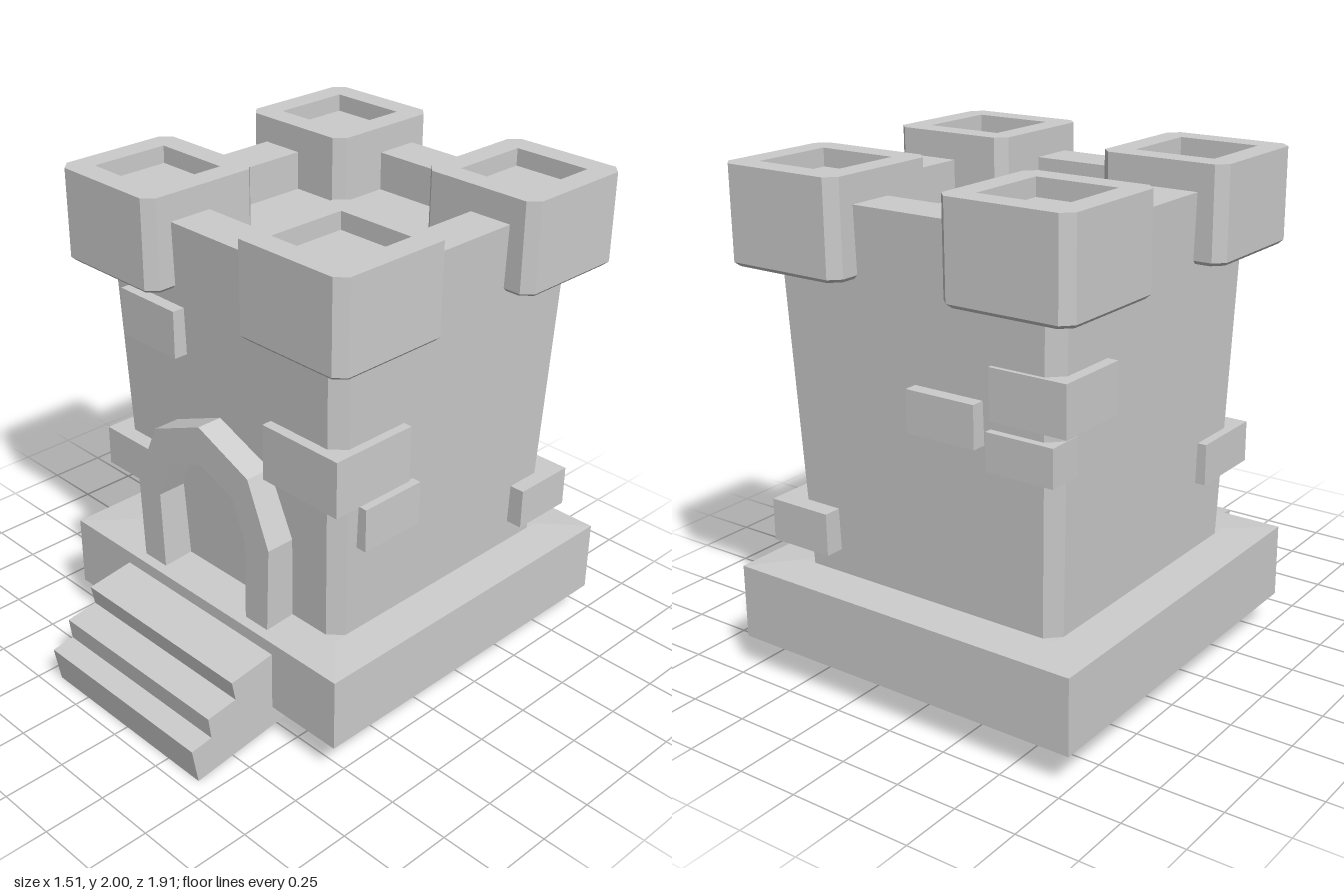
import * as THREE from 'three';

const material = new THREE.MeshStandardMaterial({ color: 0xcccccc, flatShading: true });
const CENTER_Z = -0.2;

// Square outline with cut corners, eight points, counter-clockwise seen from above
function ring(half, cut, y) {
  const h = half, k = half - cut;
  return [[h, k], [k, h], [-k, h], [-h, k], [-h, -k], [-k, -h], [k, -h], [h, -k]]
    .map(([x, z]) => [x, y, z]);
}

// Joins successive rings with walls and closes the first and last ring
function loft(rings) {
  const pos = [];
  const tri = (a, b, c) => pos.push(...a, ...b, ...c);
  for (let r = 0; r < rings.length - 1; r++) {
    const a = rings[r], b = rings[r + 1];
    for (let i = 0; i < 8; i++) {
      const j = (i + 1) % 8;
      tri(a[i], b[i], b[j]);
      tri(a[i], b[j], a[j]);
    }
  }
  const first = rings[0], last = rings[rings.length - 1];
  for (let i = 1; i < 7; i++) {
    tri(first[0], first[i], first[i + 1]);
    tri(last[0], last[i + 1], last[i]);
  }
  const geometry = new THREE.BufferGeometry();
  geometry.setAttribute('position', new THREE.Float32BufferAttribute(pos, 3));
  geometry.computeVertexNormals();
  return geometry;
}

function extrude(points, depth) {
  const shape = new THREE.Shape(points.map(([x, y]) => new THREE.Vector2(x, y)));
  return new THREE.ExtrudeGeometry(shape, { depth, bevelEnabled: false });
}

export function createModel() {
  const model = new THREE.Group();
  model.name = 'castleTower';

  const add = (name, geometry, x = 0, y = 0, z = 0) => {
    const mesh = new THREE.Mesh(geometry, material);
    mesh.name = name;
    mesh.position.set(x, y, z);
    model.add(mesh);
    return mesh;
  };

  // Plinth with a very shallow sloped top
  add('base', loft([ring(0.757, 0, 0.14), ring(0.757, 0, 0.44), ring(0.59, 0, 0.45)]), 0, 0, -0.195);

  // Flared tower with cut corners, a parapet and a sunken roof floor
  add('tower', loft([
    ring(0.587, 0.052, 0.43), ring(0.638, 0.055, 1.895),
    ring(0.455, 0, 1.895), ring(0.455, 0, 1.74),
  ]), 0, 0, CENTER_Z);

  // Four corner turrets, each with a bevelled foot and a recessed top
  const turret = loft([
    ring(0.247, 0.04, 1.63), ring(0.262, 0.04, 1.645), ring(0.262, 0.04, 2),
    ring(0.165, 0, 2), ring(0.165, 0, 1.93),
  ]);
  for (const sx of [-1, 1]) {
    for (const sz of [-1, 1]) add('turret', turret, sx * 0.482, 0, CENTER_Z + sz * 0.48);
  }

  // Faceted door arch
  add('doorArch', extrude([
    [-0.367, 0.44], [-0.385, 0.8], [-0.268, 1.06], [-0.008, 1.17], [0.258, 1.06], [0.367, 0.8], [0.355, 0.44],
    [0.235, 0.44], [0.24, 0.77], [0.172, 0.94], [-0.008, 1.01], [-0.185, 0.94], [-0.257, 0.77], [-0.242, 0.44],
  ], 0.16), 0, 0, 0.36);

  // Tilted steps: side profile as (z, y), turned to run along x
  const steps = add('steps', extrude([
    [0.937, 0.003], [0.963, 0.155], [0.868, 0.168], [0.88, 0.26], [0.746, 0.278],
    [0.762, 0.362], [0.51, 0.395], [0.455, 0.065],
  ].map(([z, y]) => [-z, y]), 0.853), -0.428, 0, 0);
  steps.rotation.y = Math.PI / 2;

  // Protruding bricks: min and max of x, y, z
  const bricks = [
    [-0.485, -0.18, 1.375, 1.567, 0.36, 0.478],
    [0.275, 0.652, 1.043, 1.27, 0.083, 0.458],
    [-0.64, -0.375, 0.735, 0.9, 0.143, 0.467],
    [0.5, 0.645, 0.83, 1.008, 0.015, 0.3],
    [0.39, 0.66, 0.547, 0.715, -0.868, -0.593],
    [-0.665, -0.35, 1.228, 1.42, -0.838, -0.53],
    [-0.616, -0.338, 1.045, 1.19, -0.843, -0.7],
    [-0.31, -0.017, 1.125, 1.287, -0.87, -0.7],
  ];
  for (const [x0, x1, y0, y1, z0, z1] of bricks) {
    add('brick', new THREE.BoxGeometry(x1 - x0, y1 - y0, z1 - z0),
      (x0 + x1) / 2, (y0 + y1) / 2, (z0 + z1) / 2);
  }

  return model;
}
